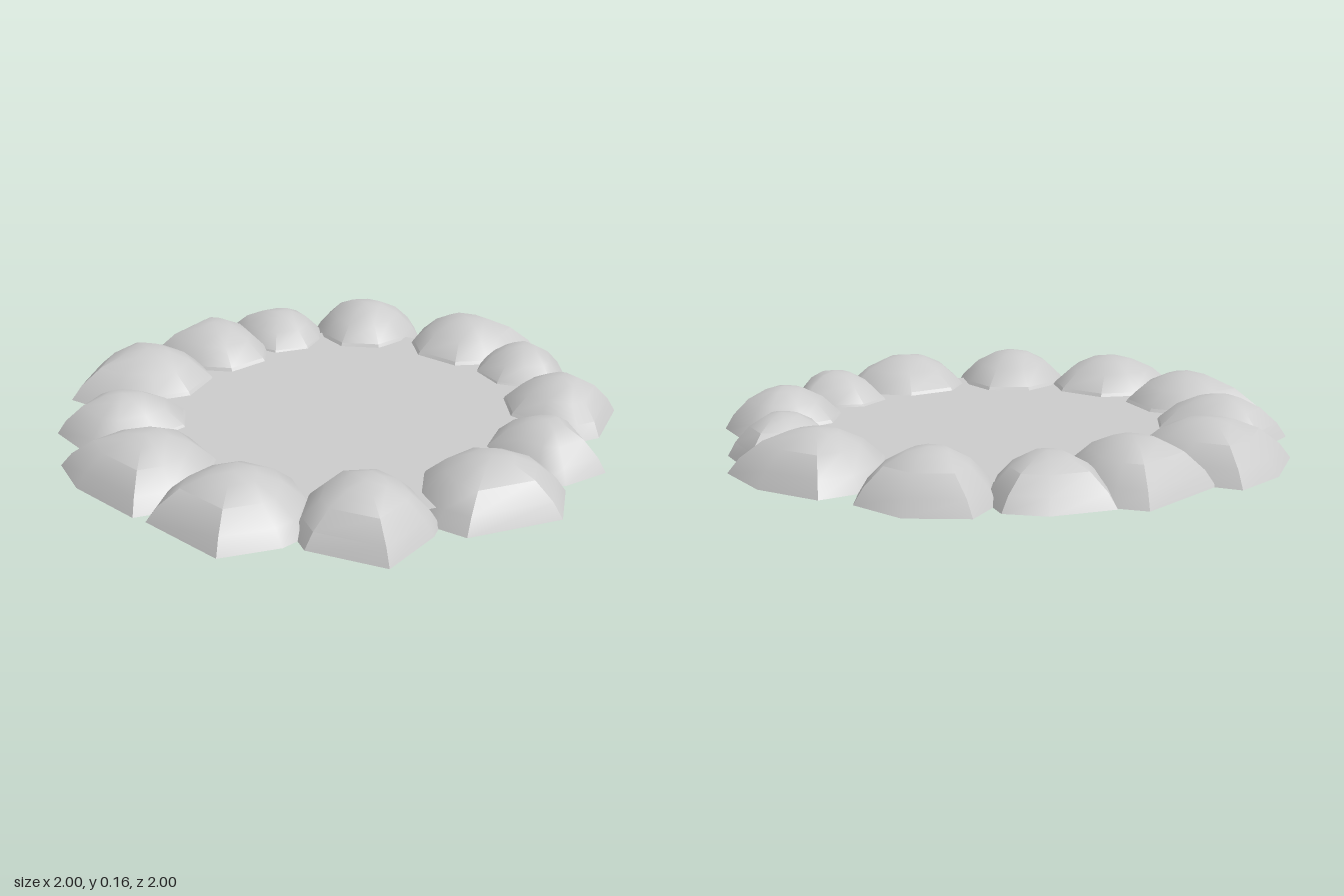
import * as THREE from 'three';
import { toCreasedNormals } from 'three/addons/utils/BufferGeometryUtils.js';

// Each stone: angle (deg, +x toward +z), inner radius, outer radius, half width,
// sideways shift of the outer tip, radius of the two outer shoulders, height
const STONES = [
  [-77, 0.61, 1.03, 0.20, 0.01, 0.98, 0.95, 0.157],
  [-46, 0.60, 1.03, 0.23, 0.00, 0.96, 1.00, 0.157],
  [-23, 0.63, 0.97, 0.18, 0.02, 0.94, 0.87, 0.140],
  [2, 0.60, 1.00, 0.20, -0.03, 0.89, 0.89, 0.155],
  [28, 0.56, 0.96, 0.18, 0.03, 0.82, 0.86, 0.145],
  [56, 0.53, 0.98, 0.24, -0.08, 0.86, 0.87, 0.157],
  [90, 0.50, 1.00, 0.21, -0.04, 0.83, 0.87, 0.157],
  [122, 0.53, 1.00, 0.24, -0.08, 0.86, 0.91, 0.157],
  [153, 0.55, 0.99, 0.24, 0.05, 0.92, 0.97, 0.155],
  [180, 0.55, 1.00, 0.18, 0.01, 0.88, 0.90, 0.148],
  [209, 0.56, 1.04, 0.23, 0.02, 0.99, 1.00, 0.157],
  [235, 0.54, 1.01, 0.21, 0.13, 0.92, 0.93, 0.157],
  [257, 0.60, 0.98, 0.18, 0.04, 0.95, 0.93, 0.142],
];

// Dome section: [scale of the base outline, fraction of the height]
const DOME = [[1, 0], [0.86, 0.33], [0.6, 0.7], [0.3, 0.93]];

// An open-bottomed stone: shrinking outlines stacked up to a rounded top
function stoneGeometry([, rIn, rOut, w, tip, shoulderA, shoulderB, height]) {
  const inner = rIn - 0.025;
  const depth = rOut - inner;
  const side = w + 0.02;
  const outline = [
    [rOut, tip],
    [shoulderB, w * 0.95],
    [inner + depth * 0.55, side],
    [inner + depth * 0.22, w * 0.88],
    [inner, w * 0.42],
    [inner, -w * 0.42],
    [inner + depth * 0.22, -w * 0.88],
    [inner + depth * 0.55, -side],
    [shoulderA, -w * 0.95],
  ];
  const n = outline.length;
  const centre = inner + depth * 0.5;
  const positions = [];
  const index = [];
  DOME.forEach(([scale, up], level) => {
    for (const [r, u] of outline) {
      positions.push(centre + (r - centre) * scale, up * height, u * scale);
    }
    for (let i = 0; i < n; i++) {
      const a = level * n + i;
      const b = level * n + (i + 1) % n;
      if (level < DOME.length - 1) index.push(a, a + n, b, b, a + n, b + n);
      else index.push(a, DOME.length * n, b);
    }
  });
  positions.push(centre, height, 0);
  const geometry = new THREE.BufferGeometry();
  geometry.setAttribute('position', new THREE.Float32BufferAttribute(positions, 3));
  geometry.setIndex(index);
  return toCreasedNormals(geometry, 0.62);
}

export function createModel() {
  const model = new THREE.Group();
  model.name = 'stoneRing';
  const material = new THREE.MeshStandardMaterial({ color: 0xcccccc, side: THREE.DoubleSide });

  // Ring of stones
  const stones = new THREE.Group();
  stones.name = 'stones';
  STONES.forEach((spec, i) => {
    const stone = new THREE.Mesh(stoneGeometry(spec), material);
    stone.name = `stone${i + 1}`;
    stone.rotation.y = -THREE.MathUtils.degToRad(spec[0]);
    stones.add(stone);
  });
  model.add(stones);

  // Flat surface inside the ring, its edge hidden in the stones
  const surface = new THREE.Mesh(new THREE.CircleGeometry(0.76, 32), material);
  surface.name = 'innerSurface';
  surface.rotation.x = -Math.PI / 2;
  surface.position.y = 0.04;
  model.add(surface);

  return model;
}
